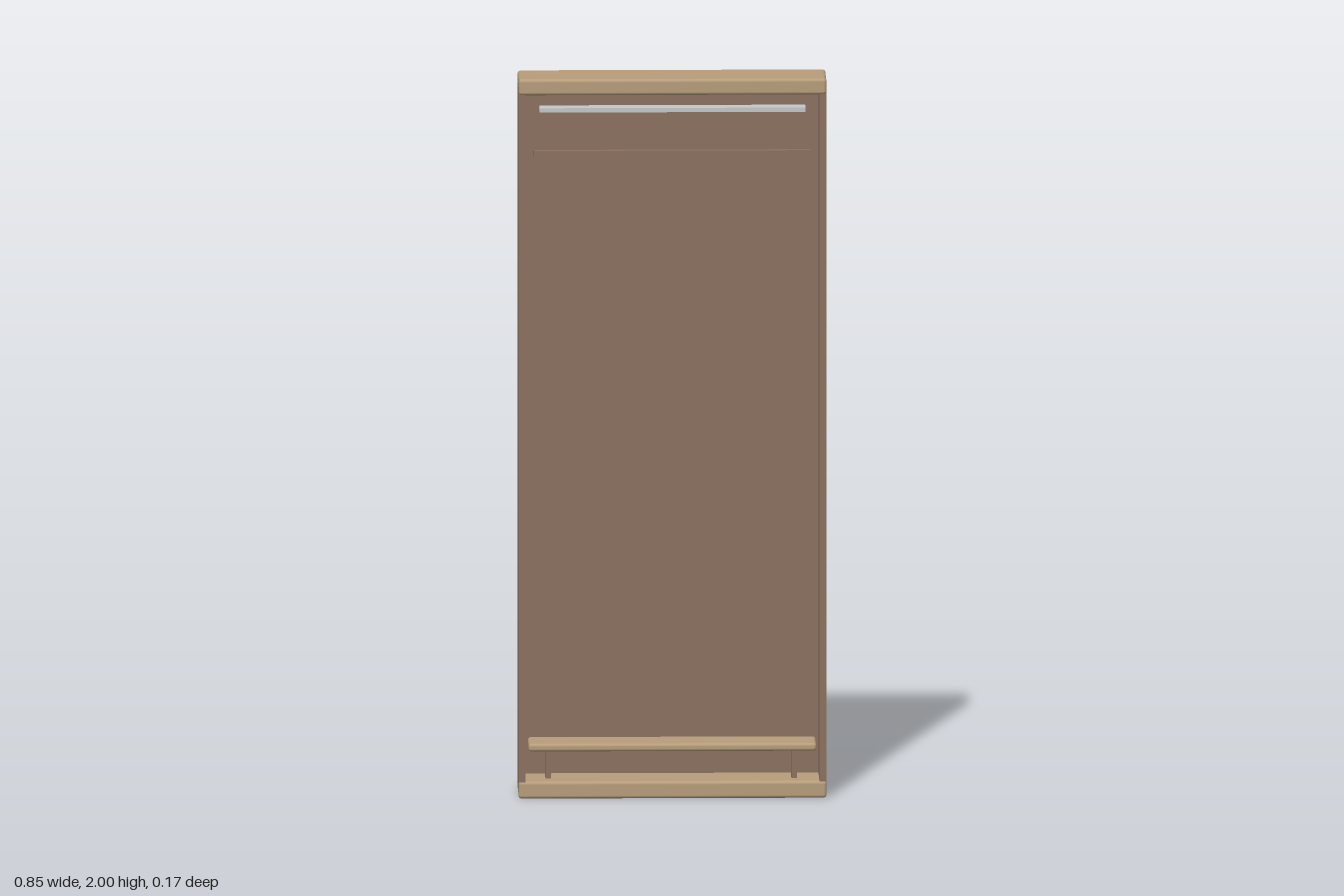
import * as THREE from 'three';
import { RoundedBoxGeometry } from 'three/addons/geometries/RoundedBoxGeometry.js';

export function createModel() {
  const model = new THREE.Group();
  model.name = 'openCabinet';
  const mat = (name, color) => {
    const m = new THREE.MeshStandardMaterial({ color });
    m.name = name;
    return m;
  };
  const lightWood = mat('lightWood', 0xb79d7a);
  const darkWood = mat('darkWood', 0x8b7160);
  const metal = mat('metal', 0xc4c8c8);

  const add = (name, geometry, material, x, y, z) => {
    const mesh = new THREE.Mesh(geometry, material);
    mesh.name = name;
    mesh.position.set(x, y, z);
    model.add(mesh);
    return mesh;
  };
  const box = (name, m, w, h, d, x, y, z) =>
    add(name, new THREE.BoxGeometry(w, h, d), m, x, y, z);
  const rounded = (name, m, w, h, d, r, x, y, z) =>
    add(name, new RoundedBoxGeometry(w, h, d, 3, r), m, x, y, z);

  // Rounded top and bottom slabs
  rounded('topSlab', lightWood, 0.845, 0.045, 0.168, 0.009, 0, 1.9775, 0);
  rounded('bottomSlab', lightWood, 0.845, 0.048, 0.168, 0.009, 0, 0.024, 0);

  // Back panel between the slabs
  box('backPanel', darkWood, 0.83, 1.92, 0.022, 0, 1, -0.072);

  // Side panels, notched at the front where they overlap the slabs
  const side = new THREE.Shape([
    [-0.081, 0.028], [0.072, 0.028], [0.072, 0.046], [0.081, 0.046],
    [0.081, 1.957], [0.072, 1.957], [0.072, 1.975], [-0.081, 1.975],
  ].map(([z, y]) => new THREE.Vector2(-z, y)));
  const sideGeometry = new THREE.ExtrudeGeometry(side, { depth: 0.02, bevelEnabled: false });
  sideGeometry.rotateY(Math.PI / 2);
  add('leftSide', sideGeometry, darkWood, 0.403, 0, 0);
  add('rightSide', sideGeometry, darkWood, -0.423, 0, 0);

  // Metal track under the top: a plate with two lips
  box('trackPlate', metal, 0.73, 0.006, 0.05, 0, 1.917, 0.058);
  for (const z of [0.037, 0.079]) box('trackLip', metal, 0.73, 0.012, 0.008, 0, 1.914, z);

  // Hanging rail
  box('hangingRail', darkWood, 0.76, 0.018, 0.018, 0, 1.786, 0.035);

  // Low shelf on two feet
  rounded('lowShelf', lightWood, 0.79, 0.022, 0.126, 0.008, 0, 0.139, 0.003);
  for (const x of [-0.34, 0.335]) box('shelfFoot', darkWood, 0.016, 0.084, 0.06, x, 0.089, 0);

  return model;
}
